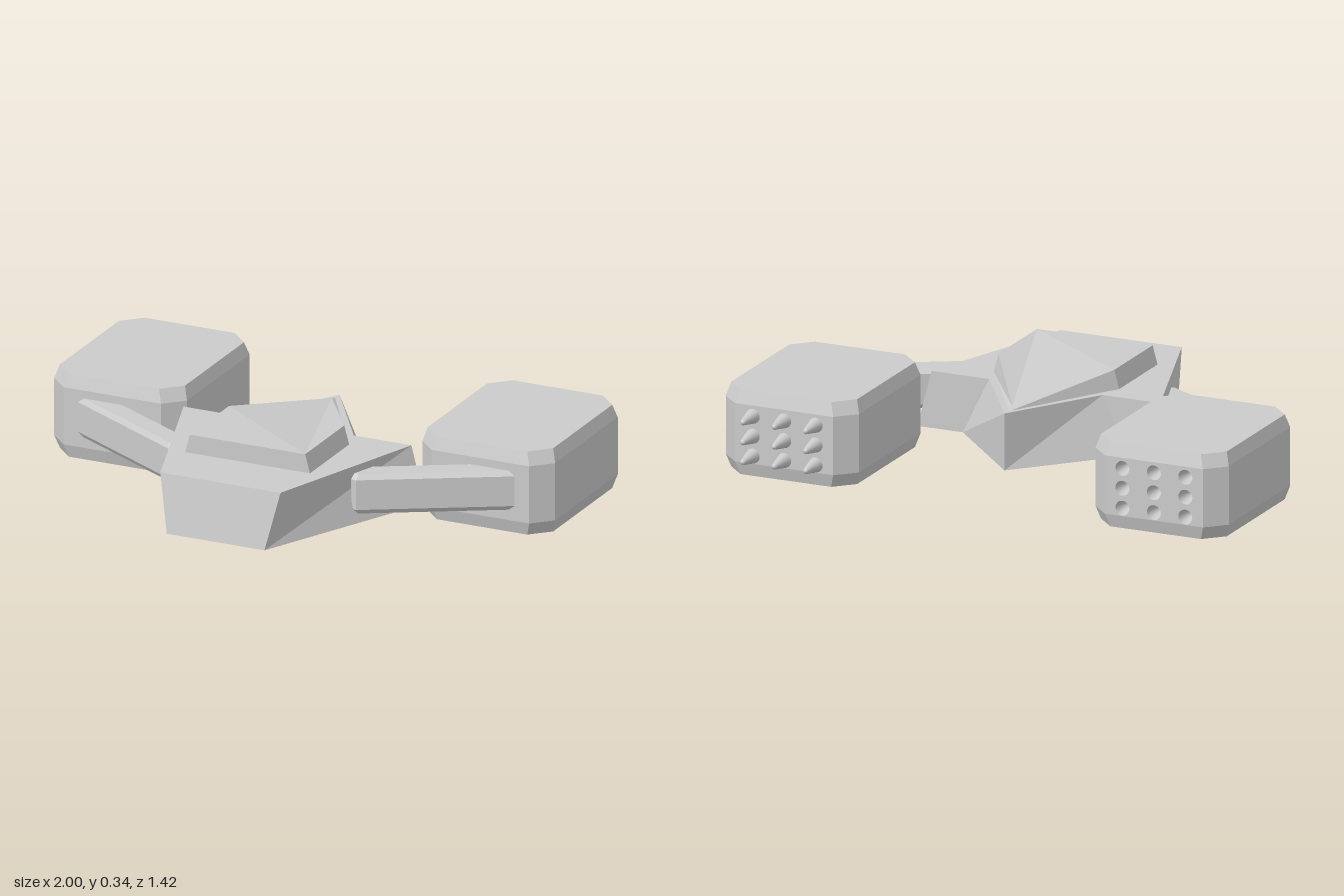
import * as THREE from 'three';

const material = new THREE.MeshStandardMaterial({ color: 0xcccccc, flatShading: true });
const smooth = new THREE.MeshStandardMaterial({ color: 0xcccccc, side: THREE.DoubleSide });

// Solid through stacked rings of [x, y, z]; rings run counter-clockwise seen from above.
// skip = [ring, side] leaves one side face open.
function loft(rings, skip = [-1, -1]) {
  const pos = [];
  const n = rings[0].length;
  const tri = (a, b, c) => pos.push(...a, ...b, ...c);
  for (let k = 0; k < rings.length - 1; k++) {
    for (let i = 0; i < n; i++) {
      if (k === skip[0] && i === skip[1]) continue;
      const j = (i + 1) % n, lo = rings[k], hi = rings[k + 1];
      tri(lo[i], lo[j], hi[j]);
      tri(lo[i], hi[j], hi[i]);
    }
  }
  const cap = (ring, flip) => {
    const flat = ring.map(([x, , z]) => new THREE.Vector2(x, -z));
    for (const [a, b, c] of THREE.ShapeUtils.triangulateShape(flat, [])) {
      if (flip) tri(ring[a], ring[c], ring[b]);
      else tri(ring[a], ring[b], ring[c]);
    }
  };
  cap(rings[0], true);
  cap(rings[rings.length - 1], false);
  const g = new THREE.BufferGeometry();
  g.setAttribute('position', new THREE.Float32BufferAttribute(pos, 3));
  g.computeVertexNormals();
  return g;
}

// Completes a ring from its +x half, given front to back and ending on the centre line
function mirrored(half) {
  const other = half.slice(0, -1).reverse().map(([x, y, z]) => [-x, y, z]);
  return [...half, ...other];
}

// Block with cut corners and bevelled top and bottom edges, centred on the origin
function bevelBlock(w, h, d, corner, inset, rise, skip) {
  const ring = (y, s) => {
    const X = w / 2 - s, Z = d / 2 - s, c = corner;
    return [[X - c, Z], [X, Z - c], [X, c - Z], [X - c, -Z],
      [c - X, -Z], [-X, c - Z], [-X, Z - c], [c - X, Z]].map(([x, z]) => [x, y, z]);
  };
  return loft([ring(-h / 2, inset), ring(rise - h / 2, 0), ring(h / 2 - rise, 0), ring(h / 2, inset)], skip);
}

function add(parent, name, geometry, mat = material) {
  const mesh = new THREE.Mesh(geometry, mat);
  mesh.name = name;
  parent.add(mesh);
  return mesh;
}

export function createModel() {
  const model = new THREE.Group();
  model.name = 'twinPodCraft';

  // Hull: tapered nose, swept shoulders and a wedge tail
  add(model, 'hull', loft([
    mirrored([[0.195, 0.055, 0.71], [0.51, 0.055, 0.03], [0.33, 0.055, 0.03], [0, 0.055, -0.32]]),
    mirrored([[0.24, 0.27, 0.67], [0.455, 0.27, 0.03], [0.225, 0.27, 0.03], [0, 0.27, -0.32]]),
  ]));

  // Cabin: raised block sloping down to a point at the tail
  add(model, 'cabin', loft([
    mirrored([[0.25, 0.268, 0.445], [0.25, 0.268, 0.12], [0, 0.268, -0.29]]),
    mirrored([[0.23, 0.34, 0.445], [0.23, 0.34, 0.12], [0, 0.28, -0.255]]),
  ]));

  // Pods and struts
  const W = 0.53, H = 0.32, D = 0.66, corner = 0.07, rise = 0.05;
  const holes = [];
  for (const x of [-0.125, 0, 0.125]) for (const y of [-0.08, -0.005, 0.07]) holes.push([x, y]);
  const profile = [[0.028, 0], [0.011, 0.083], [0.006, 0.09], [0, 0.091]].map(([r, y]) => new THREE.Vector2(r, y));
  const spike = new THREE.LatheGeometry(profile, 16);

  for (const side of [1, -1]) {
    const label = side > 0 ? 'left' : 'right';

    const strut = add(model, label + 'Strut', bevelBlock(0.66, 0.15, 0.1, 0.015, 0.012, 0.018));
    strut.position.set(side * 0.623, 0.165, 0.125);
    strut.rotation.y = side * 0.52;

    const pod = new THREE.Group();
    pod.name = label + 'Pod';
    pod.position.set(side * 0.735, H / 2, -0.29);
    model.add(pod);
    const loaded = side > 0;
    add(pod, 'podBody', bevelBlock(W, H, D, corner, 0.015, rise, loaded ? undefined : [1, 3]));

    // Empty pod: rear plate pierced by the nine tube openings
    if (!loaded) {
      const a = W / 2 - corner, b = H / 2 - rise;
      const plate = new THREE.Shape([[-a, -b], [a, -b], [a, b], [-a, b]].map(p => new THREE.Vector2(...p)));
      for (const [x, y] of holes) plate.holes.push(new THREE.Path().absarc(x, y, 0.028, 0, Math.PI * 2, true));
      const rear = add(pod, 'rearPlate', new THREE.ShapeGeometry(plate, 8));
      rear.rotation.y = Math.PI;
      rear.position.z = -D / 2;
    }

    // Missiles point out of the loaded pod, tapered tubes sink into the empty one
    for (const [x, y] of holes) {
      const m = add(pod, loaded ? 'missile' : 'launchTube', spike, smooth);
      m.position.set(x, y, -D / 2);
      m.rotation.x = loaded ? -Math.PI / 2 : Math.PI / 2;
    }
  }
  return model;
}
